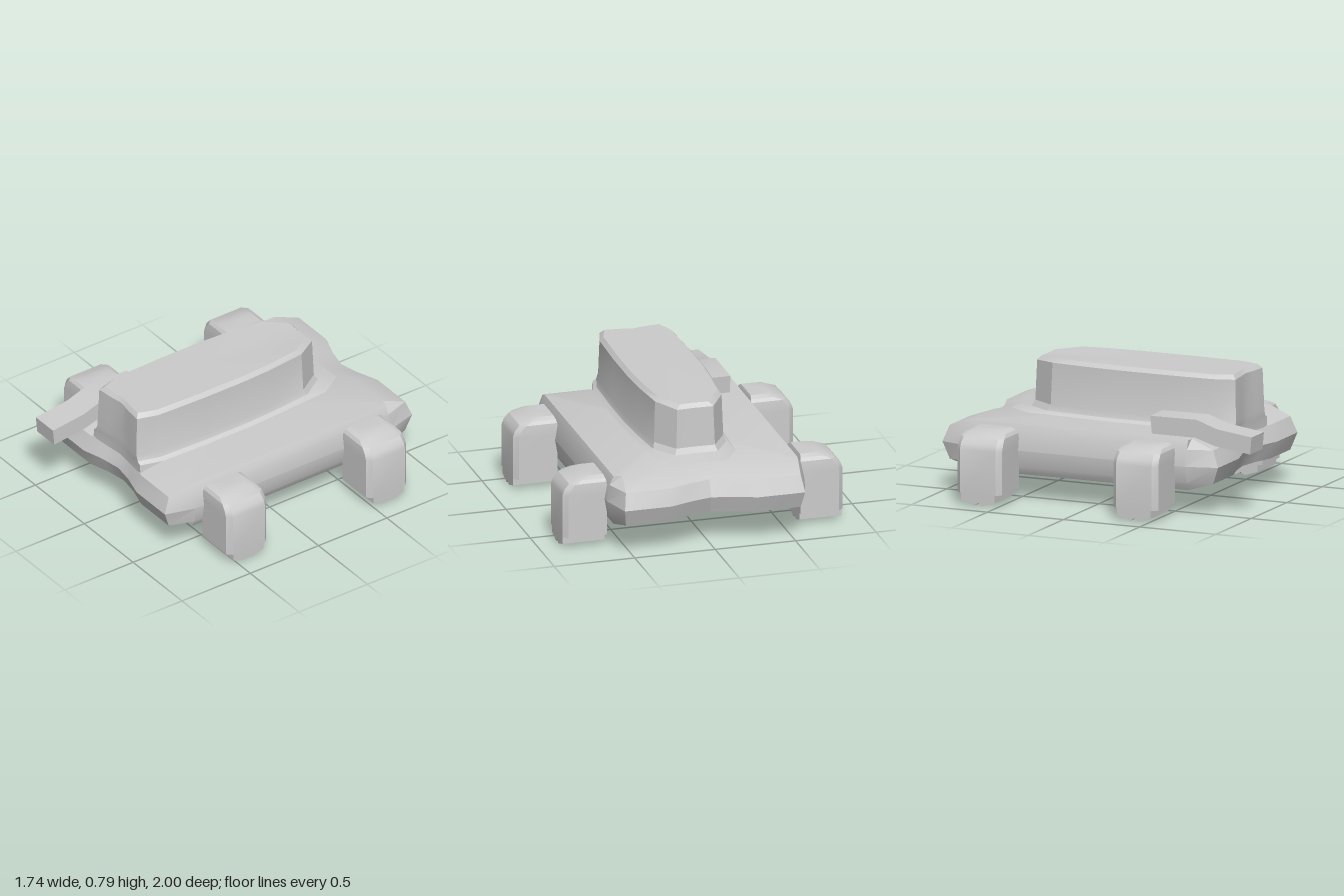
import * as THREE from 'three';
import { toCreasedNormals } from 'three/addons/utils/BufferGeometryUtils.js';

const material = new THREE.MeshStandardMaterial({ color: 0xcccccc });

function addMesh(parent, name, geometry) {
  const mesh = new THREE.Mesh(toCreasedNormals(geometry, 0.4), material);
  mesh.name = name;
  parent.add(mesh);
  return mesh;
}

// Skin a stack of horizontal rings (bottom to top) and cap both ends.
function loft(rings) {
  const n = rings[0].length;
  const index = [];
  const points = rings.flat();
  for (let r = 0; r < rings.length - 1; r++) {
    for (let i = 0; i < n; i++) {
      const j = (i + 1) % n;
      const a = r * n + i, b = r * n + j;
      index.push(a, b, b + n, a, b + n, a + n);
    }
  }
  const center = ring => [0, 1, 2].map(k => ring.reduce((s, p) => s + p[k], 0) / n);
  const top = (rings.length - 1) * n;
  const c = points.length;
  points.push(center(rings[0]), center(rings[rings.length - 1]));
  for (let i = 0; i < n; i++) {
    const j = (i + 1) % n;
    index.push(c, j, i, c + 1, top + i, top + j);
  }
  const g = new THREE.BufferGeometry();
  g.setAttribute('position', new THREE.Float32BufferAttribute(points.flat(), 3));
  g.setIndex(index);
  return g;
}

// Complete a half outline (front centre to back centre on +x) by mirroring it.
function mirrored(half) {
  const other = half.slice(1, -1).reverse().map(([x, z]) => [-x, z]);
  return [...half, ...other];
}

// Extrude a (z, y) side profile across the width from x0 to x1.
function sideExtrude(profile, x0, x1) {
  const shape = new THREE.Shape(profile.map(([z, y]) => new THREE.Vector2(-z, y)));
  const g = new THREE.ExtrudeGeometry(shape, { depth: x1 - x0, bevelEnabled: false });
  g.rotateY(Math.PI / 2);
  g.translate(x0, 0, 0);
  return g;
}

// Broad bevelled hull, notched at the middle of the front and back.
function hullGeometry() {
  const outline = mirrored([
    [0, 0.75], [0.13, 0.77], [0.27, 0.81], [0.56, 0.81], [0.615, 0.62],
    [0.615, -0.8], [0.56, -1], [0.27, -1], [0.13, -0.95], [0, -0.92],
  ]);
  // height, width scale, end inset
  const layers = [[0.155, 0.93, 0.19], [0.2, 0.97, 0.04], [0.305, 1, 0],
    [0.405, 0.97, 0.04], [0.458, 0.93, 0.19]];
  return loft(layers.map(([y, sx, inset]) => outline.map(([x, z]) => {
    const end = z > 0.65 ? 1 : z < -0.85 ? -1 : 0;
    return [x * sx, y, z - end * inset];
  })));
}

// Long tower that narrows towards the back, flared where it meets the hull.
function towerGeometry() {
  const outline = mirrored([
    [0, 0.735], [0.1, 0.75], [0.2, 0.76], [0.24, 0.62], [0.25, 0.3],
    [0.25, 0], [0.24, -0.2], [0.215, -0.45], [0.12, -0.595], [0, -0.59],
  ]);
  // height, side flare, back flare, inset
  const layers = [[0.4, 0.04, 0.16, 0], [0.458, 0.035, 0.14, 0], [0.475, 0.012, 0.02, 0],
    [0.51, 0, 0, 0], [0.765, 0, 0, 0.008], [0.79, 0, 0, 0.03]];
  return loft(layers.map(([y, side, back, inset]) => outline.map(([x, z]) => {
    const rear = z < -0.4;
    const drop = y > 0.7 && z < -0.5 ? 0.012 : 0;
    return [x + Math.sign(x) * (side - inset), y - drop,
      z - (rear ? back - inset : z > 0.7 ? inset : 0)];
  })));
}

// Wheel housing: flat inner face, rounded outer shoulder; built for +x.
function housingGeometry() {
  // height, inner x, outer x, half length
  const layers = [[0.075, 0.6, 0.868, 0.147], [0.34, 0.6, 0.868, 0.147],
    [0.375, 0.6, 0.855, 0.146], [0.41, 0.6, 0.825, 0.142],
    [0.43, 0.605, 0.775, 0.128], [0.445, 0.61, 0.73, 0.1]];
  return loft(layers.map(([y, a, b, h]) => {
    const c = 0.03;
    return [[a, h], [b - c, h], [b, h - c], [b, -h + c], [b - c, -h], [a, -h]]
      .map(([x, z]) => [x, y, z]);
  }));
}

export function createModel() {
  const model = new THREE.Group();
  model.name = 'vehicle';
  addMesh(model, 'hull', hullGeometry());
  addMesh(model, 'tower', towerGeometry());

  // Side arm: level at the back, dropping to a shallow nose in front.
  const armTop = [[1, 0.495], [0.77, 0.525], [0.64, 0.57], [0.335, 0.568]];
  const armBottom = [[0.345, 0.46], [0.63, 0.46], [0.76, 0.42], [0.99, 0.39]];
  addMesh(model, 'sideArm', sideExtrude([...armTop, ...armBottom], -0.495, -0.32));

  // Four wheel housings, each with a split foot beneath.
  const foot = [[0.11, 0.08], [0.11, 0.03], [0.025, 0.003], [0, 0.02],
    [-0.025, 0.003], [-0.11, 0.03], [-0.11, 0.08]];
  for (const side of [1, -1]) {
    for (const [end, z] of [['front', 0.415], ['back', -0.61]]) {
      const leg = new THREE.Group();
      leg.name = `${end}${side > 0 ? 'Left' : 'Right'}Leg`;
      addMesh(leg, 'housing', housingGeometry());
      addMesh(leg, 'foot', sideExtrude(foot, 0.605, 0.865));
      // A half turn puts the rounded shoulder on the other side.
      if (side < 0) leg.rotation.y = Math.PI;
      leg.position.z = z - (side < 0 ? 0.015 : 0);
      model.add(leg);
    }
  }
  return model;
}
